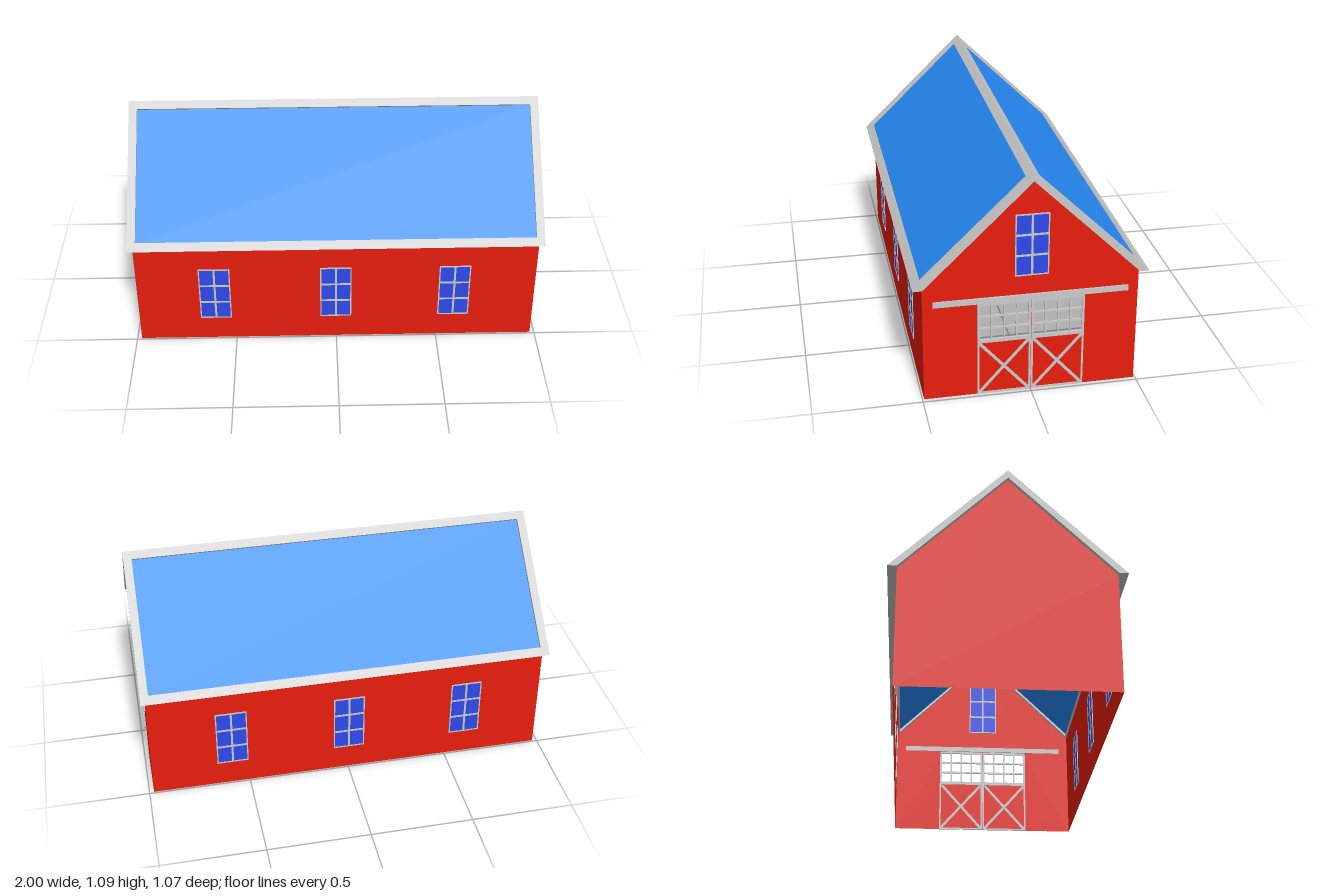
import * as THREE from 'three';

const mat = (color) => new THREE.MeshStandardMaterial({ color, flatShading: true, side: THREE.DoubleSide });
const GREY = mat(0xcccccc), RED = mat(0xe81d0e), ROOF = mat(0x268cfa), GLASS = mat(0x2e4aec);

const WALL_X = 0.978, WALL_Z = 0.492, EAVE = 0.57;
const RIDGE = 1.09, SLOPE = 0.972; // outer roof line

function add(parent, name, geometry, material) {
  const mesh = new THREE.Mesh(geometry, material);
  mesh.name = name;
  parent.add(mesh);
  return mesh;
}

const polygon = (points) => new THREE.Shape(points.map(([a, b]) => new THREE.Vector2(a, b)));
const rect = (x0, x1, y0, y1) => polygon([[x0, y0], [x1, y0], [x1, y1], [x0, y1]]);

function extrude(shape, depth) {
  const g = new THREE.ExtrudeGeometry(shape, { depth, bevelEnabled: false });
  return g.translate(0, 0, -depth / 2);
}

// A (z, y) section swept along x, centred on x
const alongX = (points, length, x = 0) =>
  extrude(polygon(points), length).rotateY(-Math.PI / 2).translate(x, 0, 0);

// A frame divided into cols x rows openings by bars
function lattice(x0, x1, y0, y1, cols, rows, frame, bar, depth) {
  const shape = rect(x0, x1, y0, y1);
  const w = (x1 - x0 - 2 * frame - (cols - 1) * bar) / cols;
  const h = (y1 - y0 - 2 * frame - (rows - 1) * bar) / rows;
  for (let c = 0; c < cols; c++) {
    for (let r = 0; r < rows; r++) {
      const x = x0 + frame + c * (w + bar), y = y0 + frame + r * (h + bar);
      shape.holes.push(rect(x, x + w, y, y + h));
    }
  }
  return extrude(shape, depth);
}

// Six-pane window, seen on both sides of its wall
function makeWindow(name) {
  const g = new THREE.Group();
  g.name = name;
  add(g, 'windowFrame', lattice(-0.077, 0.077, -0.15, 0.15, 2, 3, 0.006, 0.01, 0.008), GREY);
  add(g, 'windowGlass', new THREE.BoxGeometry(0.146, 0.292, 0.004), GLASS);
  return g;
}

// One sliding door leaf: glazing bars above, crossed braces below
function makeDoor(side) {
  const g = new THREE.Group();
  g.name = side > 0 ? 'doorLeafA' : 'doorLeafB';
  const x0 = side > 0 ? 0.001 : -0.246, x1 = x0 + 0.245, mid = (x0 + x1) / 2;
  add(g, 'doorGlazingBars', lattice(x0, x1, 0.274, 0.468, 4, 3, 0.011, 0.008, 0.008), GREY);
  add(g, 'doorLowerFrame', lattice(x0, x1, 0, 0.276, 1, 1, 0.009, 0, 0.008), GREY);
  for (const s of [-1, 1]) {
    const brace = add(g, 'doorBrace', new THREE.BoxGeometry(0.34, 0.014, 0.006), GREY);
    brace.position.set(mid, 0.137, 0);
    brace.rotation.z = s * Math.atan2(0.258, 0.227);
  }
  return g;
}

function makeRoof() {
  const roof = new THREE.Group();
  roof.name = 'roof';
  // point on a slope at plan distance z, sunk by depth d
  const at = (z, d) => [z - 0.697 * d, RIDGE - SLOPE * z - 0.717 * d];
  const mirror = (pts) => pts.map(([z, y]) => [-z, y]).reverse();

  // Chevron trims over both gables
  const rake = [[-0.535, EAVE], [-WALL_Z, EAVE], [0, 1.05], [WALL_Z, EAVE], [0.535, EAVE], [0, RIDGE]];
  for (const s of [-1, 1]) add(roof, 'rakeTrim', alongX(rake, 0.04, s * 0.98), GREY);

  // Ridge trim
  const ridgeSide = [at(0.03, 0), at(0.03, 0.0285)];
  const ridge = [[0, RIDGE], ...ridgeSide, [0, 1.05], ...mirror(ridgeSide)];
  add(roof, 'ridgeTrim', alongX(ridge, 1.92), GREY);

  // Eave trims and recessed panels
  const eave = [[0.535, EAVE], at(0.503, 0), at(0.503, 0.0285), [WALL_Z, EAVE]];
  const panel = [at(0.03, 0.012), at(0.503, 0.012), at(0.503, 0.018), at(0.03, 0.018)];
  for (const fit of [(p) => p, mirror]) {
    add(roof, 'eaveTrim', alongX(fit(eave), 1.92), GREY);
    add(roof, 'roofPanel', alongX(fit(panel), 1.92), ROOF);
  }
  return roof;
}

export function createModel() {
  const barn = new THREE.Group();
  barn.name = 'barn';

  // Long walls, each with three windows
  for (const s of [-1, 1]) {
    const wall = add(barn, s > 0 ? 'frontWall' : 'backWall',
      new THREE.PlaneGeometry(2 * WALL_X, EAVE), RED);
    wall.position.set(0, EAVE / 2, s * WALL_Z);
    if (s < 0) wall.rotation.y = Math.PI;
    for (const x of [-0.597, -0.003, 0.58]) {
      const w = makeWindow('sideWindow');
      w.position.set(x, 0.278, s * WALL_Z);
      barn.add(w);
    }
  }

  // Gable walls; the door end is open behind the door glazing
  for (const s of [-1, 1]) {
    const gable = polygon([[-WALL_Z, 0], [WALL_Z, 0], [WALL_Z, EAVE], [0, 1.05], [-WALL_Z, EAVE]]);
    if (s > 0) {
      gable.holes.push(rect(0.012, 0.235, 0.285, 0.457), rect(-0.235, -0.012, 0.285, 0.457));
    }
    const wall = add(barn, s > 0 ? 'doorGableWall' : 'plainGableWall', new THREE.ShapeGeometry(gable), RED);
    wall.rotation.y = s * Math.PI / 2;
    wall.position.x = s * WALL_X;
  }

  // Door end fittings
  const doorEnd = new THREE.Group();
  doorEnd.name = 'doorEnd';
  doorEnd.position.x = WALL_X;
  doorEnd.rotation.y = Math.PI / 2;
  doorEnd.add(makeDoor(1), makeDoor(-1));
  const rail = add(doorEnd, 'doorRail', new THREE.BoxGeometry(0.89, 0.027, 0.012), GREY);
  rail.position.set(0, 0.484, 0.002);
  const loft = makeWindow('loftWindow');
  loft.position.y = 0.74;
  doorEnd.add(loft);
  barn.add(doorEnd);

  barn.add(makeRoof());
  return barn;
}
